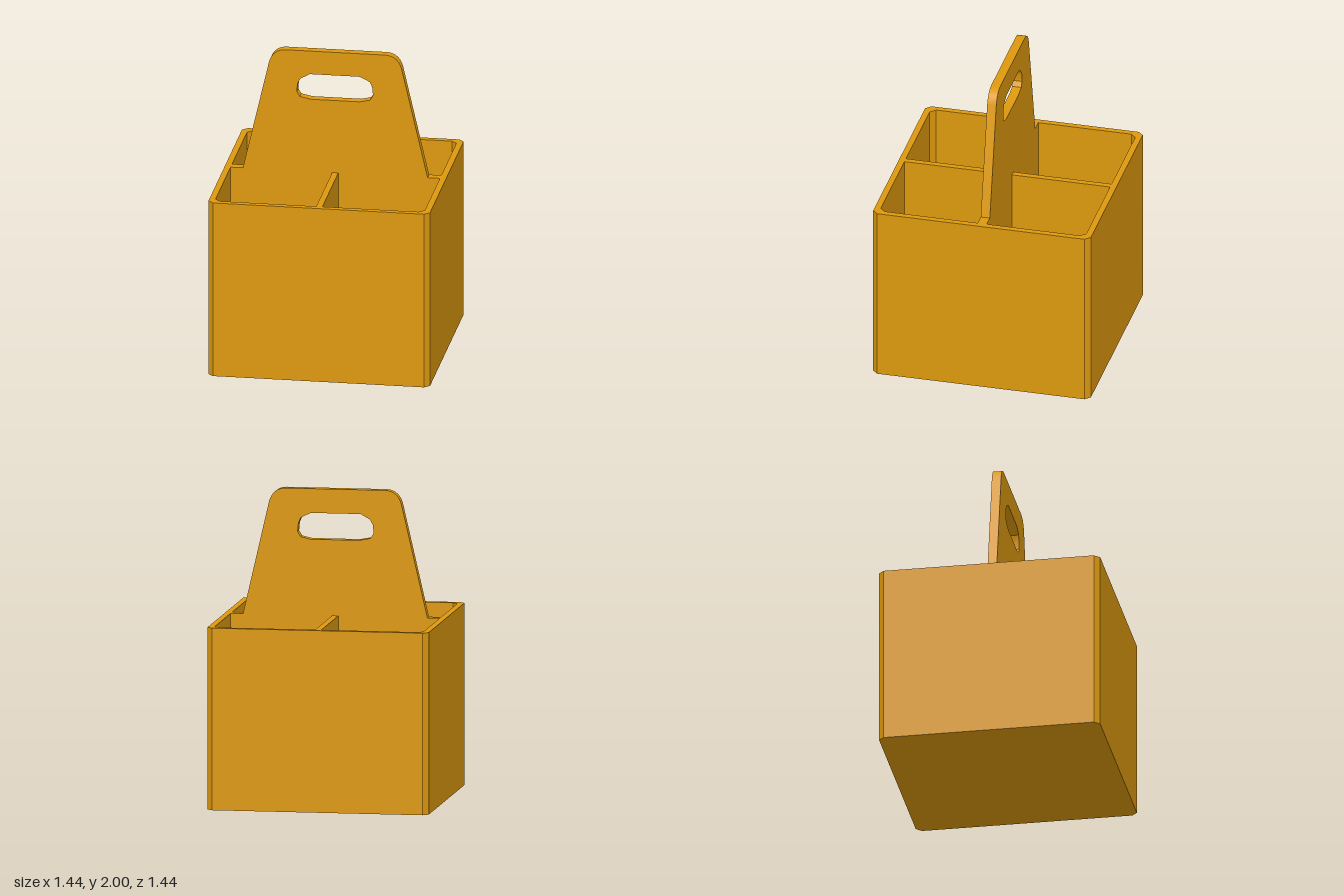
import * as THREE from 'three';
import { toCreasedNormals } from 'three/addons/utils/BufferGeometryUtils.js';

const HALF = 0.72, WALL = 0.04, CHAMFER = 0.035;
const RIM = 1.18, FLOOR = 0.04, DIVIDER_X = 0.02, DIVIDER_Z = 0.03;

const points = (list) => list.map(([x, y]) => new THREE.Vector2(x, y));

// Square with chamfered corners
function outerOutline() {
  const a = HALF, b = HALF - CHAMFER;
  return points([[b, -a], [a, -b], [a, b], [b, a], [-b, a], [-a, b], [-a, -b], [-b, -a]]);
}

// One compartment, chamfered only at its outer corner
function compartmentOutline(sx, sz) {
  const a = HALF - WALL, b = a - CHAMFER;
  return points([[DIVIDER_X, DIVIDER_Z], [a, DIVIDER_Z], [a, b], [b, a], [DIVIDER_X, a]]
    .map(([x, z]) => [x * sx, z * sz]));
}

// Extrudes a plan outline upward from y = base
function extrudeUp(shape, base, height) {
  return new THREE.ExtrudeGeometry(shape, { depth: height, bevelEnabled: false })
    .rotateX(-Math.PI / 2).translate(0, base, 0);
}

// Tapered handle plate with rounded top corners and a grip slot
function handleGeometry() {
  const s = new THREE.Shape();
  s.moveTo(-0.6, RIM);
  s.lineTo(0.6, RIM);
  s.lineTo(0.43, 1.915);
  s.bezierCurveTo(0.415, 1.965, 0.38, 2, 0.325, 2);
  s.lineTo(-0.325, 2);
  s.bezierCurveTo(-0.38, 2, -0.415, 1.965, -0.43, 1.915);
  s.closePath();
  s.holes.push(new THREE.Path(points([
    [-0.165, 1.843], [-0.225, 1.81], [-0.245, 1.775], [-0.25, 1.72], [-0.23, 1.687], [-0.155, 1.672],
    [0.16, 1.672], [0.225, 1.687], [0.245, 1.72], [0.24, 1.775], [0.225, 1.81], [0.16, 1.843],
  ])));
  const g = new THREE.ExtrudeGeometry(s, { depth: 2 * DIVIDER_Z, bevelEnabled: false, curveSegments: 8 });
  return toCreasedNormals(g.translate(0, 0, -DIVIDER_Z), 0.6);
}

export function createModel() {
  const group = new THREE.Group();
  const amber = new THREE.MeshStandardMaterial({ color: 0xdd990e });
  amber.name = 'amber';

  const add = (name, geometry) => {
    const mesh = new THREE.Mesh(geometry, amber);
    mesh.name = name;
    group.add(mesh);
  };

  // Outer walls and cross dividers around four compartments
  const plan = new THREE.Shape(outerOutline());
  for (const sx of [-1, 1]) {
    for (const sz of [-1, 1]) plan.holes.push(new THREE.Path(compartmentOutline(sx, sz)));
  }
  add('wallsAndDividers', extrudeUp(plan, FLOOR, RIM - FLOOR));

  add('floor', extrudeUp(new THREE.Shape(outerOutline()), 0, FLOOR));
  add('handle', handleGeometry());
  return group;
}
